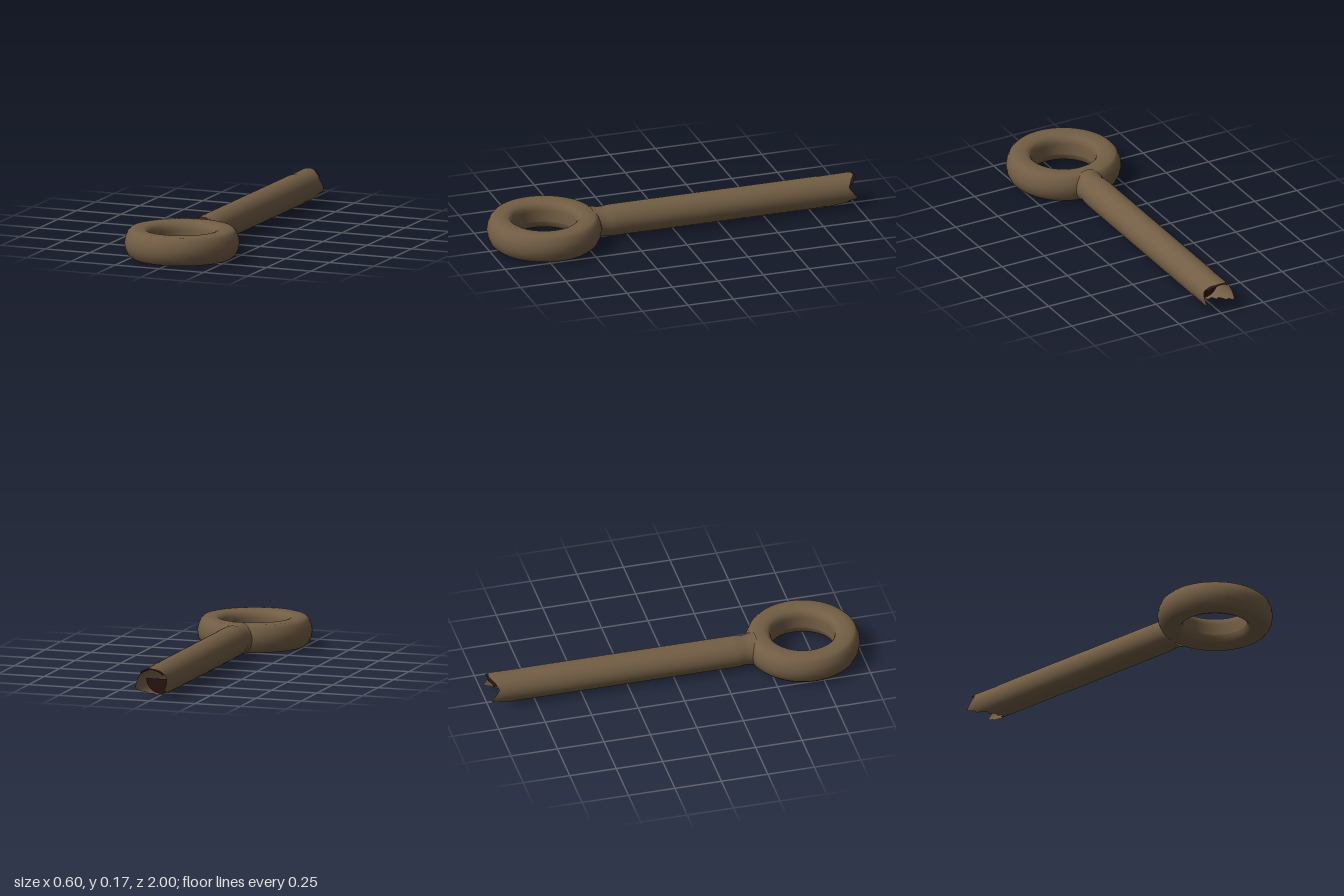
import * as THREE from 'three';

const MID = 0.085; // height of the rod axis and ring centre
const RADIUS = 0.083;
const V = (x, y) => new THREE.Vector2(x, y);

// Where the torn end stops (distance towards the back) for each height -1..1 around the rod
const TEAR = [[-1, 0.83], [-0.8, 0.88], [-0.35, 1.0], [0, 0.975], [0.4, 0.95], [0.8, 0.965], [1, 0.99]];
function tearAt(s) {
  for (let i = 1; i < TEAR.length; i++) {
    const [a, b] = [TEAR[i - 1], TEAR[i]];
    if (s <= b[0] || i === TEAR.length - 1) {
      return THREE.MathUtils.lerp(a[1], b[1], THREE.MathUtils.clamp((s - a[0]) / (b[0] - a[0]), 0, 1));
    }
  }
}

// Turned tube along z whose last row of points is pulled to the torn edge
function tornTube(profile, start, sweep, extra, jag) {
  const geo = new THREE.LatheGeometry(profile.map(([r, d]) => V(r, d)), 48, start, sweep);
  geo.rotateX(-Math.PI / 2);
  const p = geo.attributes.position;
  const rows = profile.length;
  for (let i = rows - 1; i < p.count; i += rows) {
    const s = p.getY(i) / Math.hypot(p.getX(i), p.getY(i));
    const column = Math.floor(i / rows);
    const tooth = s < -0.4 ? jag * Math.sin(column * 2.3) : 0;
    p.setZ(i, -Math.min(1, tearAt(s) + extra + tooth));
  }
  return geo;
}

export function createModel() {
  const group = new THREE.Group();
  const brown = new THREE.MeshStandardMaterial({ color: 0x735e45, side: THREE.DoubleSide });
  const dark = new THREE.MeshStandardMaterial({ color: 0x2a1410, side: THREE.DoubleSide });
  brown.name = 'brown';
  dark.name = 'dark torn core';

  const add = (name, geo, mat, z = 0) => {
    const mesh = new THREE.Mesh(geo, mat);
    mesh.name = name;
    mesh.position.set(0, MID, z);
    group.add(mesh);
    return mesh;
  };

  // Ring: rounded section swept about the vertical axis
  const section = [
    [0.165, -0.03], [0.17, -0.052], [0.183, -0.068], [0.205, -0.075], [0.235, -0.076],
    [0.267, -0.074], [0.283, -0.058], [0.295, -0.03], [0.3, 0],
  ];
  const upper = section.slice(0, -1).reverse().map(([r, y]) => [r, -y]);
  const loop = [...section, ...upper, section[0]].map(([r, y]) => V(r, y));
  add('ring', new THREE.LatheGeometry(loop, 64), brown, 0.7);

  // Rod: flared neck, straight shaft, slight step before the hollow torn end
  const rod = [
    [0.086, -0.445], [0.083, -0.42], [0.079, -0.4], [0.078, -0.375], [0.082, -0.35],
    [RADIUS, -0.32], [RADIUS, 0.5], [RADIUS, 0.8], [0.081, 0.815], [RADIUS, 0.97],
  ];
  add('rod', tornTube(rod, 0, Math.PI * 2, 0, 0.012), brown);

  // Torn core: dark splintered lining in the lower half of the open end
  const lining = [[0.078, 0.78], [0.079, 0.97]];
  add('tornLining', tornTube(lining, -Math.PI * 0.3 , Math.PI * 0.6, 0.02, 0.014), dark).rotation.z = 0;
  // Sloping dark floor closing the lower half of the hollow
  const floor = new THREE.CircleGeometry(0.078, 24, Math.PI, Math.PI);
  add('tornFloor', floor, dark, -0.82);

  return group;
}
